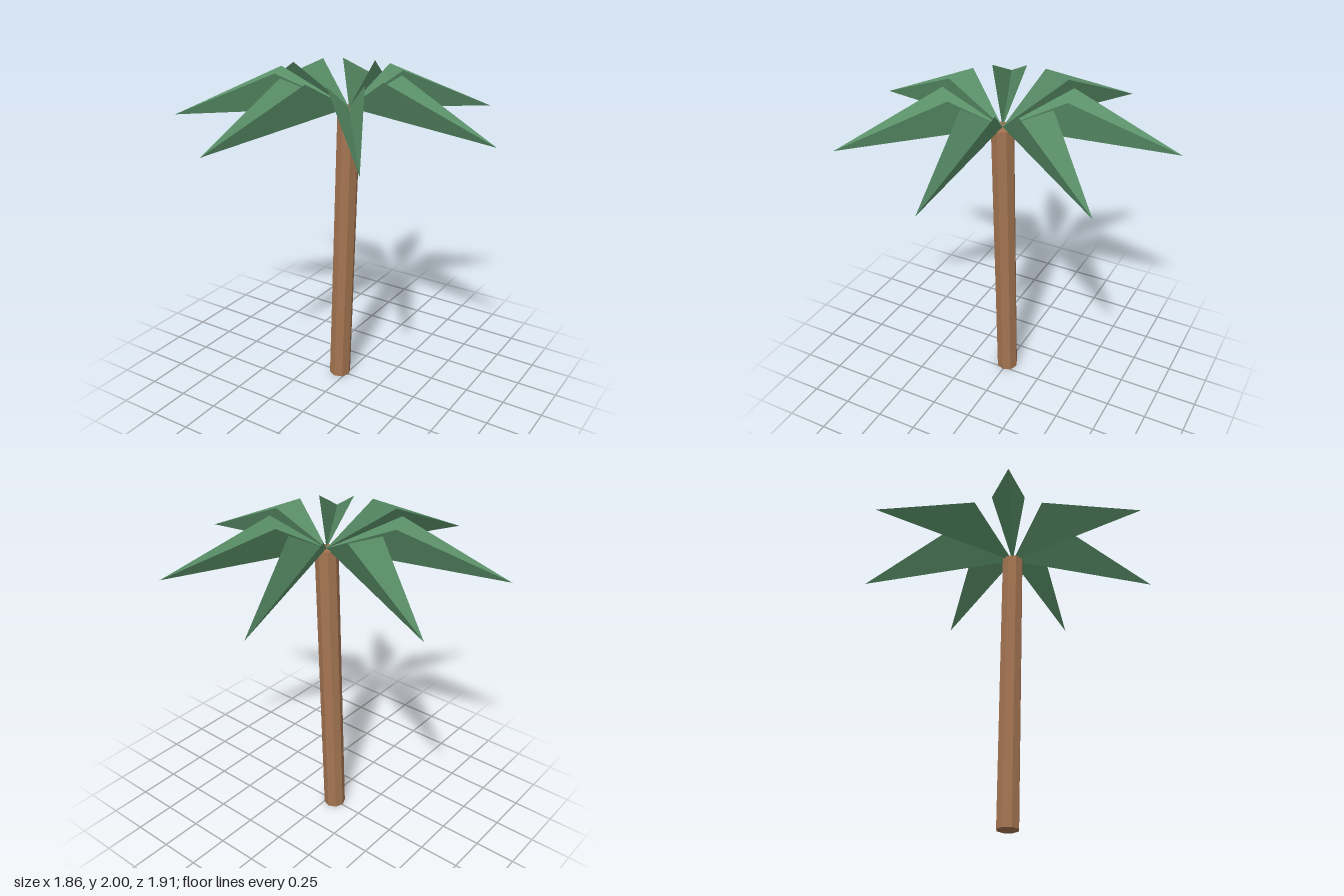
import * as THREE from 'three';

const bark = new THREE.MeshStandardMaterial({ color: 0xa57552, flatShading: true });
bark.name = 'bark brown';
const leaf = new THREE.MeshStandardMaterial({ color: 0x5c936b, flatShading: true, side: THREE.DoubleSide });
leaf.name = 'leaf green';

const TOP = new THREE.Vector3(0.018, 1.8, 0); // where all fronds meet
const BOTTOM = new THREE.Vector3(-0.05, 0.003, 0); // middle of the trunk foot
const FRONDS = 7;

// Leaning eight-sided trunk
function makeTrunk() {
  const axis = TOP.clone().sub(BOTTOM);
  const geometry = new THREE.CylinderGeometry(0.068, 0.068, axis.length(), 8);
  const trunk = new THREE.Mesh(geometry, bark);
  trunk.name = 'trunk';
  trunk.position.copy(BOTTOM).add(TOP).multiplyScalar(0.5);
  trunk.quaternion.setFromUnitVectors(new THREE.Vector3(0, 1, 0), axis.normalize());
  return trunk;
}

// Frond folded into a valley: two triangles sharing the line from base to tip
function makeFrond(angle) {
  const place = (along, across, y) => new THREE.Vector3(
    BOTTOM.x + along * Math.cos(angle) - across * Math.sin(angle),
    y,
    along * Math.sin(angle) + across * Math.cos(angle)
  );
  const tip = place(0.978, 0, 1.717);
  const sideA = place(0.35, 0.102, 2);
  const sideB = place(0.35, -0.102, 2);
  const geometry = new THREE.BufferGeometry().setFromPoints([TOP, sideA, tip, TOP, tip, sideB]);
  geometry.computeVertexNormals();
  return new THREE.Mesh(geometry, leaf);
}

export function createModel() {
  const palm = new THREE.Group();
  palm.name = 'palmTree';
  palm.add(makeTrunk());

  const crown = new THREE.Group();
  crown.name = 'crown';
  for (let i = 0; i < FRONDS; i++) {
    const frond = makeFrond((i / FRONDS) * Math.PI * 2);
    frond.name = `frond${i + 1}`;
    crown.add(frond);
  }
  palm.add(crown);
  return palm;
}
